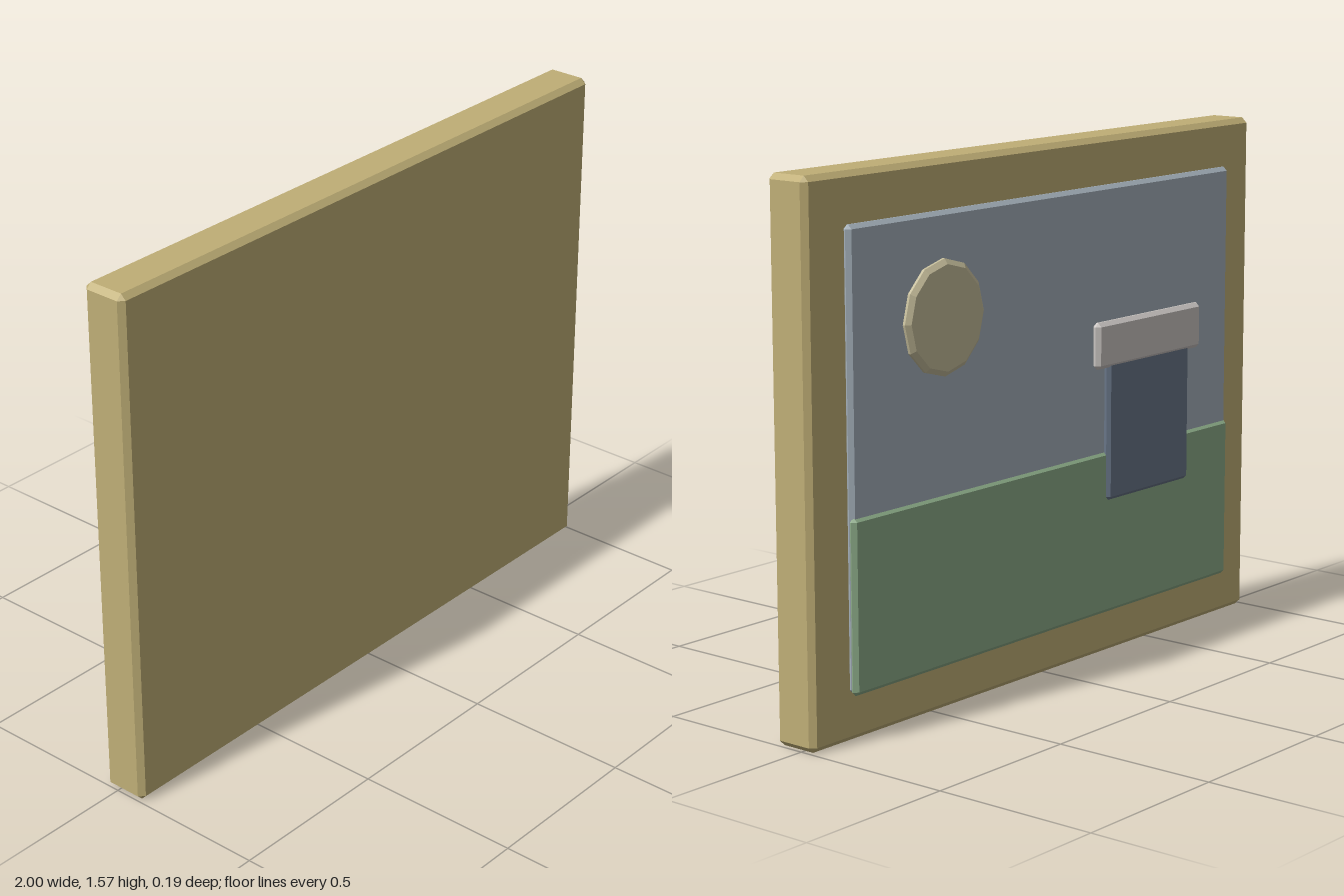
import * as THREE from 'three';
import { ConvexGeometry } from 'three/addons/geometries/ConvexGeometry.js';

const mat = (name, color) => {
  const m = new THREE.MeshStandardMaterial({ color });
  m.name = name;
  return m;
};

// Box with every edge cut by a flat chamfer c, given by its min and max corners
function chamferBox(min, max, c) {
  const mid = min.map((v, i) => (v + max[i]) / 2);
  const half = min.map((v, i) => (max[i] - v) / 2);
  const points = [];
  for (const sx of [-1, 1]) for (const sy of [-1, 1]) for (const sz of [-1, 1]) {
    const s = [sx, sy, sz];
    for (let axis = 0; axis < 3; axis++) {
      const p = s.map((sign, i) => mid[i] + sign * (half[i] - (i === axis ? 0 : c)));
      points.push(new THREE.Vector3(...p));
    }
  }
  return new ConvexGeometry(points);
}

export function createModel() {
  const group = new THREE.Group();
  group.name = 'landscapePlaque';
  const add = (name, geometry, material) => {
    const mesh = new THREE.Mesh(geometry, material);
    mesh.name = name;
    group.add(mesh);
    return mesh;
  };

  const wood = mat('wood', 0xbfae76);
  const sky = mat('skyBlue', 0xa3afb9);
  const grass = mat('grassGreen', 0x8baa87);
  const sunColor = mat('sunCream', 0xc3bb99);
  const wall = mat('wallBlue', 0x687587);
  const roof = mat('roofGrey', 0xc8c3c0);

  // Backing board, with the picture on its rear face
  add('board', chamferBox([-1, 0, -0.045], [1, 1.57, 0.095], 0.016), wood);

  // Picture layers, each standing a little prouder
  add('skyPanel', chamferBox([-0.86, 0.14, -0.069], [0.86, 1.43, -0.041], 0.012), sky);
  add('meadow', chamferBox([-0.861, 0.135, -0.077], [0.861, 0.635, -0.05], 0.012), grass);
  add('houseWall', chamferBox([-0.64, 0.485, -0.087], [-0.24, 0.93, -0.057], 0.01), wall);
  add('houseRoof', chamferBox([-0.69, 0.89, -0.094], [-0.18, 1.03, -0.064], 0.012), roof);

  // Twelve-sided sun disc with a chamfered rim
  const profile = [[0, -0.014], [0.165, -0.014], [0.165, 0.003], [0.15, 0.014], [0, 0.014]]
    .map(([r, y]) => new THREE.Vector2(r, y));
  const disc = new THREE.LatheGeometry(profile, 12).toNonIndexed();
  disc.computeVertexNormals();
  disc.rotateX(-Math.PI / 2);
  add('sun', disc, sunColor).position.set(0.485, 1.135, -0.074);

  return group;
}
